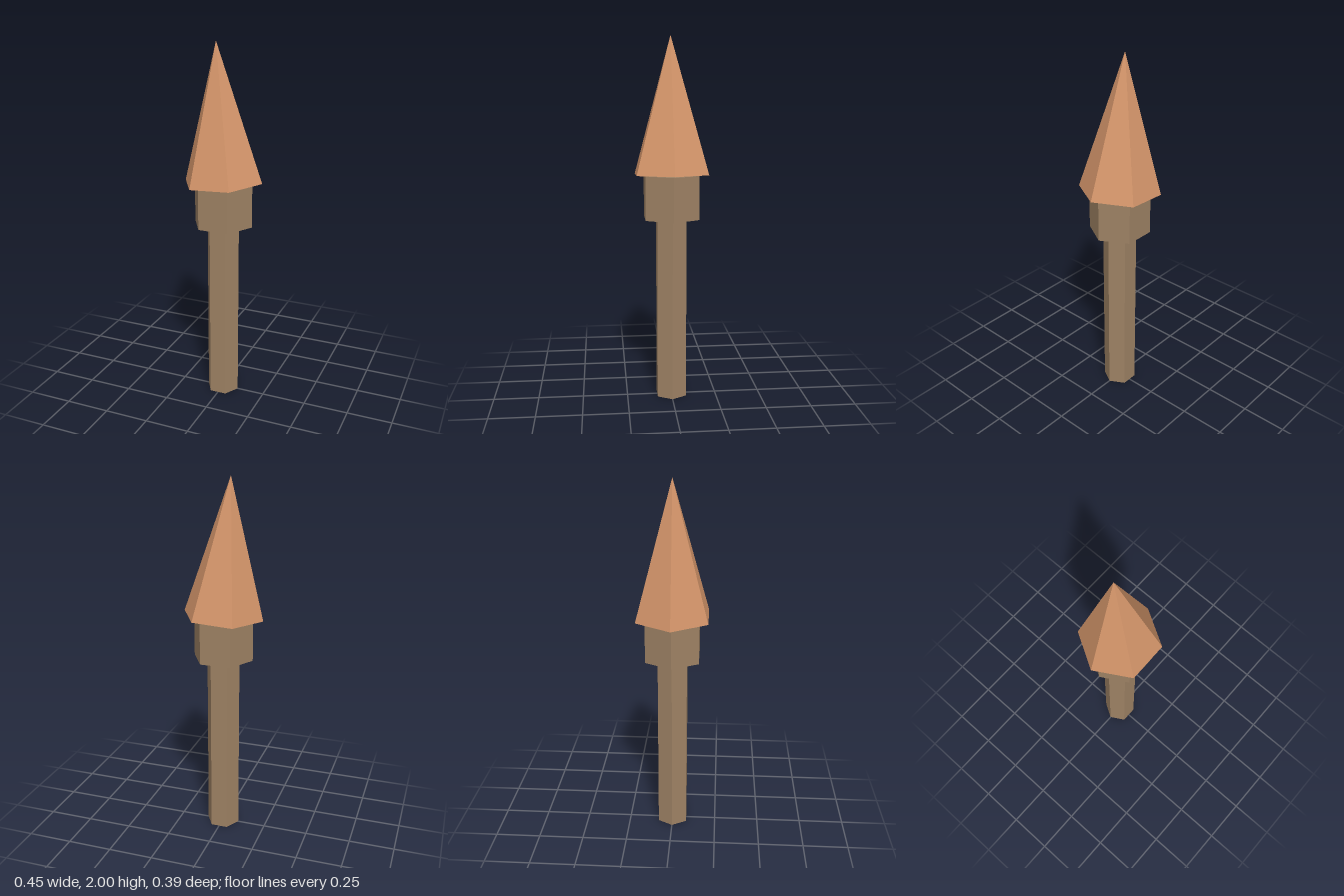
import * as THREE from 'three';

export function createModel() {
  const group = new THREE.Group();
  const wood = new THREE.MeshStandardMaterial({ color: 0x9e8264 });
  wood.name = 'greyBrown';
  const copper = new THREE.MeshStandardMaterial({ color: 0xd4956a });
  copper.name = 'copperOrange';
  wood.flatShading = copper.flatShading = true;

  // Six-sided solid standing on its base, with corners on the x axis
  function hexPart(name, material, topRadius, radius, height, y, tilt = 0) {
    const geometry = new THREE.CylinderGeometry(topRadius, radius, height, 6);
    geometry.rotateY(Math.PI / 6).translate(0, height / 2, 0);
    const mesh = new THREE.Mesh(geometry, material);
    mesh.name = name;
    mesh.position.y = y;
    mesh.rotation.z = tilt;
    group.add(mesh);
  }

  // Slim post, wider collar, and a slightly leaning pointed cap
  hexPart('post', wood, 0.0925, 0.0925, 1.02, 0);
  hexPart('collar', wood, 0.1675, 0.1675, 0.24, 1.02);
  hexPart('pointedCap', copper, 0, 0.223, 0.741, 1.26, 0.054);

  return group;
}
